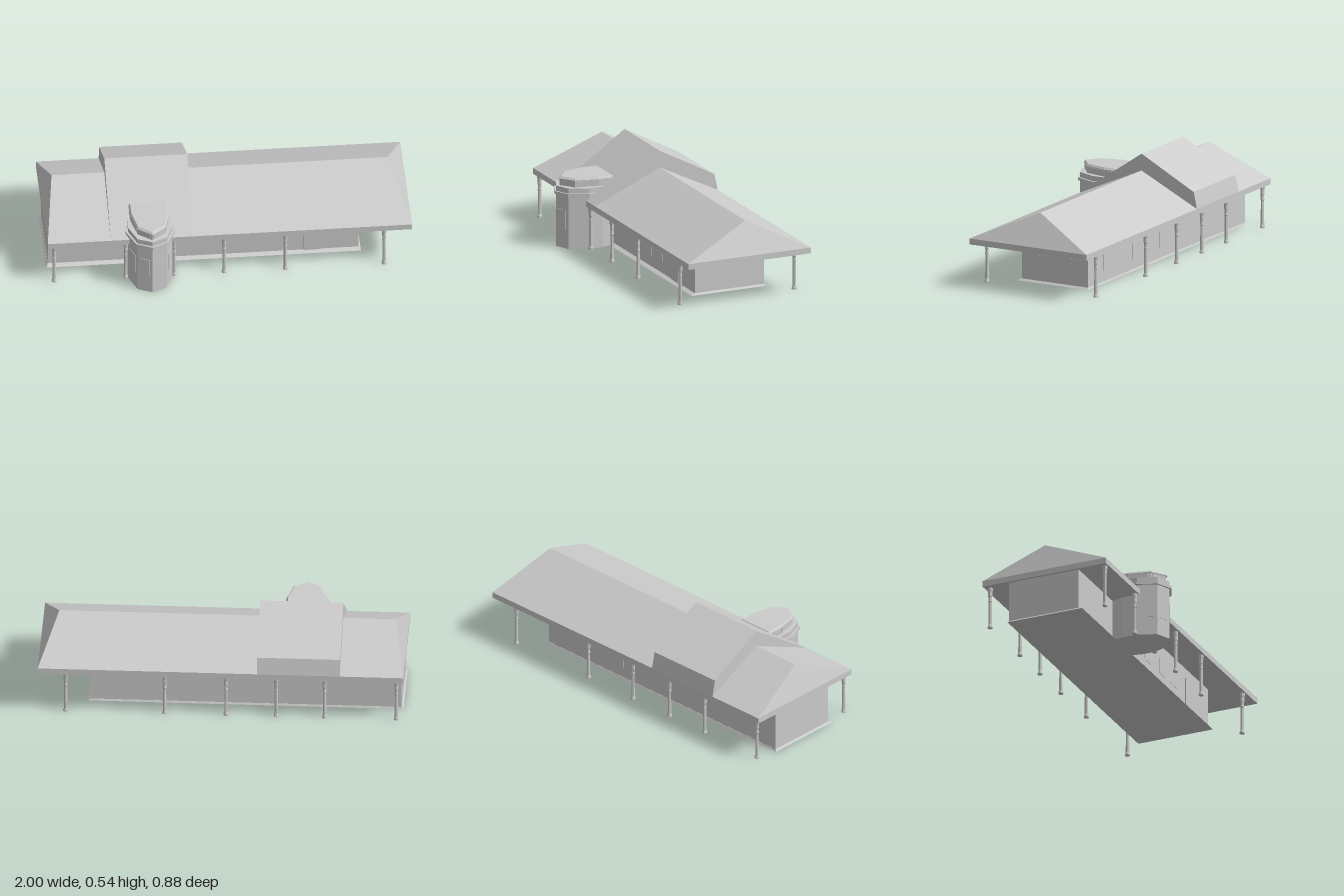
import * as THREE from 'three';
import { ConvexGeometry } from 'three/addons/geometries/ConvexGeometry.js';

const grey = new THREE.MeshStandardMaterial({ color: 0xcccccc, flatShading: true });

const TOWER_X = -0.435;

function add(parent, name, geometry, x = 0, y = 0, z = 0) {
  const mesh = new THREE.Mesh(geometry, grey);
  mesh.name = name;
  mesh.position.set(x, y, z);
  parent.add(mesh);
  return mesh;
}

// four corners of a level rectangle
function rect(x0, x1, z0, z1, y) {
  return [[x0, y, z0], [x1, y, z0], [x1, y, z1], [x0, y, z1]];
}

function hull(...points) {
  return new ConvexGeometry(points.map((p) => new THREE.Vector3(...p)));
}

// upright prism over a plan given as its +x half, from back to front tip
function prism(half, y0, y1) {
  const mirrored = half.filter(([x]) => x > 0).map(([x, z]) => [-x, z]).reverse();
  const shape = new THREE.Shape([...half, ...mirrored].map(([x, z]) => new THREE.Vector2(x, -z)));
  const geometry = new THREE.ExtrudeGeometry(shape, { depth: y1 - y0, bevelEnabled: false });
  return geometry.rotateX(-Math.PI / 2).translate(0, y0, 0);
}

// a thin panel on a plan edge, and its mirror image
function edgePanels(parent, name, a, b, fill, y0, y1) {
  const dx = b[0] - a[0], dz = b[1] - a[1];
  const geometry = new THREE.BoxGeometry(Math.hypot(dx, dz) * fill, y1 - y0, 0.005);
  for (const side of [1, -1]) {
    const panel = add(parent, name, geometry,
      side * (a[0] + b[0]) / 2, (y0 + y1) / 2, (a[1] + b[1]) / 2);
    panel.rotation.y = side * Math.atan2(dz, -dx);
  }
}

function createTower() {
  const tower = new THREE.Group();
  tower.name = 'bayTower';
  const body = [[0.1, 0.12], [0.122, 0.2], [0.122, 0.285], [0.08, 0.39], [0, 0.425]];
  const cornice = [[0.11, 0.12], [0.135, 0.2], [0.135, 0.285], [0.088, 0.396], [0, 0.437]];
  const lantern = [[0.105, 0.13], [0.105, 0.22], [0.076, 0.347], [0, 0.405]];
  const cap = [[0.108, 0.125], [0.108, 0.222], [0.079, 0.351], [0, 0.412]];
  add(tower, 'towerBody', prism(body, 0, 0.3));
  add(tower, 'towerCornice', prism(cornice, 0.3, 0.316));
  add(tower, 'towerParapet', prism(body, 0.316, 0.345));
  add(tower, 'lantern', prism(lantern, 0.345, 0.384));

  // lantern roof with a chamfered rim
  const rim = cap.flatMap(([x, z]) => [1, -1].flatMap((s) => [
    [s * x, 0.38, z],
    [s * x, 0.385, z],
    [s * x * 0.92, 0.396, 0.135 + (z - 0.125) * 0.92],
  ]));
  add(tower, 'lanternRoof', hull(...rim));

  for (const i of [2, 3]) {
    edgePanels(tower, 'towerWindow', body[i], body[i + 1], 0.62, 0.105, 0.217);
  }
  for (const i of [0, 1, 2]) {
    edgePanels(tower, 'lanternWindow', lantern[i], lantern[i + 1], 0.8, 0.35, 0.379);
  }
  tower.position.x = TOWER_X;
  return tower;
}

export function createModel() {
  const model = new THREE.Group();
  model.name = 'longHallWithBayTower';

  // hall walls and their sloped skirt
  add(model, 'walls', new THREE.BoxGeometry(1.705, 0.236, 0.417), -0.1325, 0.123, -0.0785);
  add(model, 'skirt', hull(
    ...rect(-0.995, 0.732, -0.293, 0.155, 0),
    ...rect(-0.986, 0.721, -0.288, 0.131, 0.01)));

  // hipped main roof with a flat underside and upright fascia
  add(model, 'mainRoof', hull(
    ...rect(-1, 1, -0.44, 0.3, 0.241),
    ...rect(-1, 1, -0.44, 0.3, 0.274),
    [-0.945, 0.447, -0.09], [0.9, 0.447, -0.09]));

  // raised roof section with a steep rear face
  const profile = [[0.3, 0.274], [-0.09, 0.542], [-0.42, 0.367], [-0.44, 0.274]];
  add(model, 'raisedRoof', hull(
    ...[-0.655, -0.2].flatMap((x) => profile.map(([z, y]) => [x, y, z]))));

  model.add(createTower());

  // veranda columns along both eaves
  const column = new THREE.LatheGeometry([
    [0, 0], [0.014, 0], [0.014, 0.008], [0.01, 0.02], [0.009, 0.155], [0.011, 0.158],
    [0.011, 0.163], [0.0095, 0.168], [0.0095, 0.185], [0.0115, 0.19], [0.0115, 0.213],
    [0.014, 0.228], [0.014, 0.242],
  ].map(([r, y]) => new THREE.Vector2(r, y)), 8, Math.PI / 8);
  for (const x of [-0.963, -0.57, -0.305, -0.03, 0.306, 0.848]) {
    for (const z of [0.278, -0.411]) add(model, 'column', column, x, 0, z);
  }

  // shallow windows on the back, front and left end walls
  const pane = new THREE.BoxGeometry(0.085, 0.09, 0.004);
  for (const x of [0.51, 0.355, 0.2, -0.1, -0.25]) add(model, 'backWindow', pane, x, 0.115, -0.287);
  for (const x of [-0.077, 0.12, 0.26]) add(model, 'frontWindow', pane, x, 0.115, 0.13);
  for (const z of [0, -0.21]) {
    add(model, 'endWindow', pane, 0.72, 0.115, z).rotation.y = Math.PI / 2;
  }

  // front door
  add(model, 'door', new THREE.BoxGeometry(0.09, 0.18, 0.006), 0.465, 0.092, 0.131);

  return model;
}
